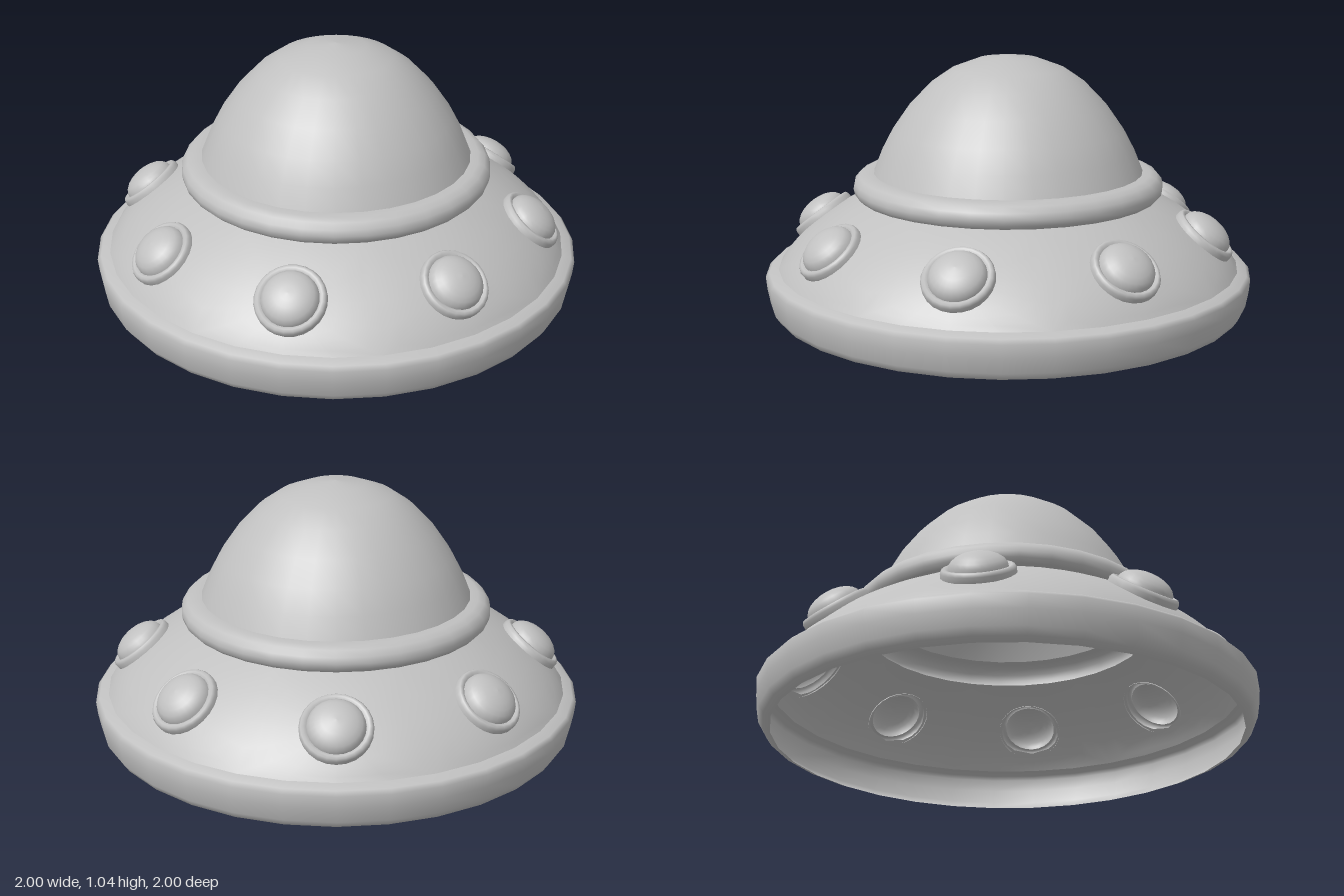
import * as THREE from 'three';
import { mergeVertices } from 'three/addons/utils/BufferGeometryUtils.js';

const SEGMENTS = 32;
const PORTS = 8;

function lathe(points, segments) {
  return new THREE.LatheGeometry(points.map(([r, y]) => new THREE.Vector2(r, y)), segments);
}

// Sloping hull: each of eight sectors is a patch running from a round port opening to the sector's border
function hullGeometry() {
  const slope = new THREE.QuadraticBezierCurve(
    new THREE.Vector2(0.947, 0.18), new THREE.Vector2(0.85, 0.335), new THREE.Vector2(0.59, 0.465));
  const side = 4, around = side * 4, rings = 4;
  const halfAngle = Math.PI / PORTS, openR = 0.128, midR = 0.81, slopeLength = 0.459;
  const positions = [], indices = [];
  for (let p = 0; p < PORTS; p++) {
    const base = positions.length / 3;
    for (let i = 0; i < around; i++) {
      const k = Math.floor(i / side), f = (i % side) / side * 2 - 1;
      const [u, v] = [[f, -1], [1, f], [-f, 1], [-1, -f]][k];
      const a = u * halfAngle, s = v * 0.5;
      const dir = Math.atan2(s * slopeLength, a * midR);
      const a0 = openR * Math.cos(dir) / midR, s0 = openR * Math.sin(dir) / slopeLength;
      for (let j = 0; j <= rings; j++) {
        const t = j / rings;
        const angle = p * 2 * halfAngle + a0 + (a - a0) * t;
        const q = slope.getPoint(0.5 + s0 + (s - s0) * t);
        positions.push(q.x * Math.sin(angle), q.y, q.x * Math.cos(angle));
        if (j < rings) {
          const here = base + i * (rings + 1) + j;
          const next = base + ((i + 1) % around) * (rings + 1) + j;
          indices.push(here, here + 1, next + 1, here, next + 1, next);
        }
      }
    }
  }
  const geometry = new THREE.BufferGeometry();
  geometry.setAttribute('position', new THREE.Float32BufferAttribute(positions, 3));
  geometry.setIndex(indices);
  const merged = mergeVertices(geometry, 1e-4);
  merged.computeVertexNormals();
  return merged;
}

export function createModel() {
  const model = new THREE.Group();
  model.name = 'flyingSaucer';
  const grey = new THREE.MeshStandardMaterial({ color: 0xc0c0c0, side: THREE.DoubleSide });
  grey.name = 'grey';

  function add(parent, name, geometry) {
    const mesh = new THREE.Mesh(geometry, grey);
    mesh.name = name;
    parent.add(mesh);
    return mesh;
  }

  // Open, hollow outer band
  add(model, 'rim', lathe([[0.935, 0], [0.965, 0.012], [0.984, 0.04], [0.995, 0.1],
    [1, 0.152], [0.985, 0.168], [0.947, 0.18]], SEGMENTS));
  add(model, 'hull', hullGeometry());

  // Rounded collar and the dome it holds
  add(model, 'collar', lathe([[0.59, 0.465], [0.615, 0.466], [0.631, 0.482], [0.636, 0.505],
    [0.631, 0.53], [0.612, 0.552], [0.585, 0.562], [0.552, 0.563]], SEGMENTS));
  add(model, 'dome', lathe([[0.552, 0.563], [0.517, 0.65], [0.472, 0.735], [0.402, 0.835],
    [0.315, 0.925], [0.23, 0.983], [0.12, 1.024], [0, 1.036]], SEGMENTS));

  // Bulging portholes, hollow like the hull
  const frame = lathe([[0.138, -0.013], [0.138, 0.008], [0.131, 0.02], [0.121, 0.022], [0.11, 0.014]], 24);
  const lensProfile = [];
  for (let i = 0; i <= 6; i++) {
    const a = i / 6 * Math.PI / 2;
    lensProfile.push([0.11 * Math.cos(a), 0.014 + 0.062 * Math.sin(a)]);
  }
  const lens = lathe(lensProfile, 24);
  for (let i = 0; i < PORTS; i++) {
    const spoke = new THREE.Group();
    spoke.name = 'porthole' + (i + 1);
    spoke.rotation.y = i * 2 * Math.PI / PORTS;
    const port = new THREE.Group();
    port.name = 'portholeMount';
    port.position.set(0, 0.329, 0.81);
    port.rotation.x = Math.atan2(0.36, 0.285) - Math.PI / 2 + 2 * Math.atan2(0.285, 0.36) - Math.atan2(0.285, 0.36) + Math.atan2(0.285, 0.36);
    add(port, 'portholeFrame', frame);
    add(port, 'portholeLens', lens);
    spoke.add(port);
    model.add(spoke);
  }
  return model;
}
